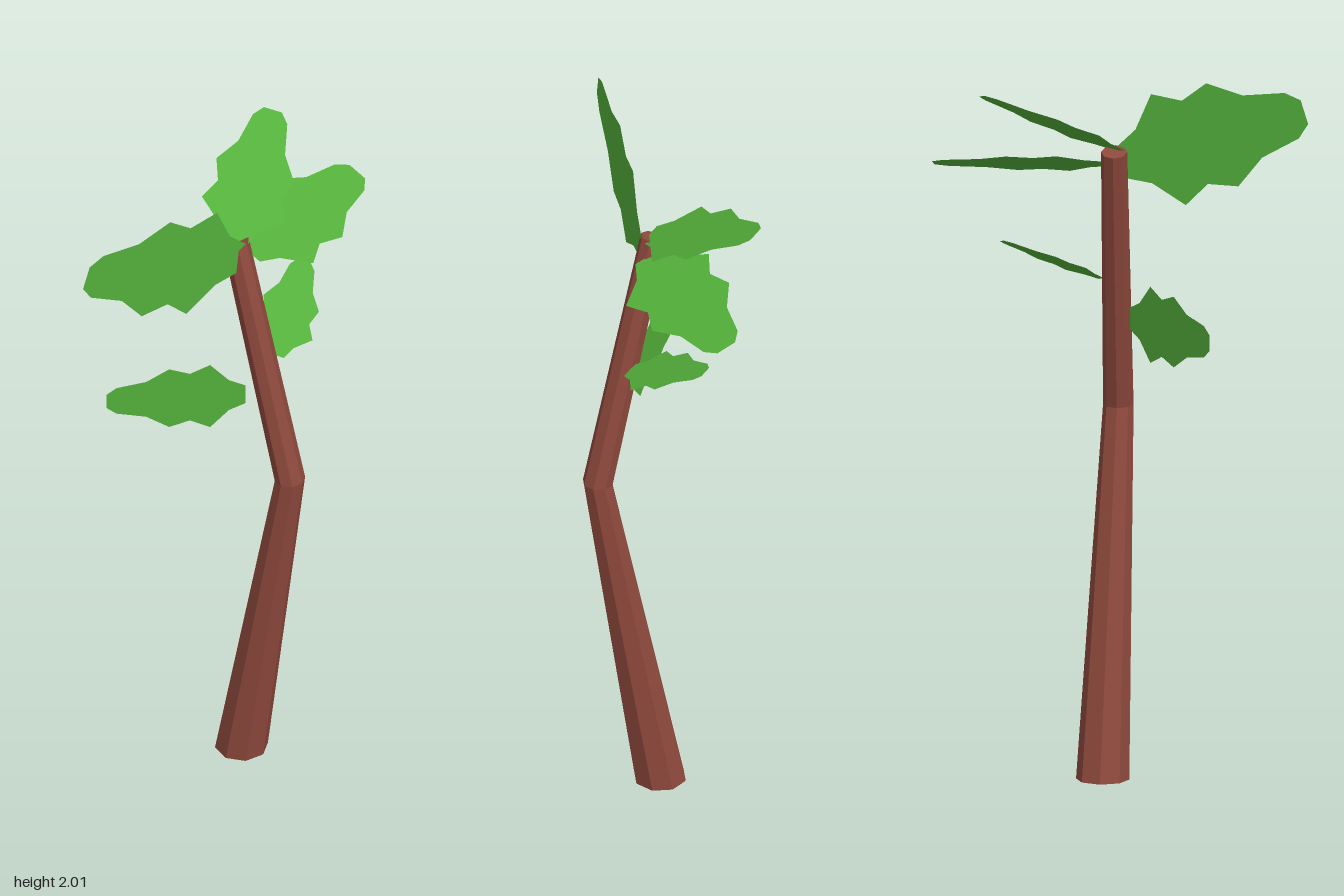
import * as THREE from 'three';

const bark = new THREE.MeshStandardMaterial({ color: 0x8f493d, flatShading: true });
bark.name = 'bark brown';
const green = new THREE.MeshStandardMaterial({ color: 0x54b03b, side: THREE.DoubleSide });
green.name = 'leaf green';

// Bent, tapering eight-sided trunk: two segments through three rings
function makeTrunk() {
  const rings = [
    { c: [0.05, 0, 0], r: 0.075, tilt: 0 },
    { c: [0.026, 1.035, 0.185], r: 0.043, tilt: 0.08 },
    { c: [0.018, 1.797, 0.003], r: 0.037, tilt: 0.3 },
  ];
  const geo = new THREE.CylinderGeometry(1, 1, 2, 8, 2);
  const p = geo.attributes.position;
  for (let i = 0; i < p.count; i++) {
    const { c, r, tilt } = rings[Math.round(p.getY(i)) + 1];
    const z = p.getZ(i) * r;
    p.setXYZ(i, c[0] + p.getX(i) * r, c[1] + z * tilt, c[2] + z);
  }
  geo.computeVertexNormals();
  const mesh = new THREE.Mesh(geo, bark);
  mesh.name = 'trunk';
  return mesh;
}

// Half outline of a leaf of unit length: distance along, half width
const half = [
  [0, 0.08], [0.12, 0.135], [0.255, 0.28], [0.4, 0.21],
  [0.55, 0.26], [0.715, 0.157], [0.93, 0.115], [1, 0.06],
];
const outline = [
  ...half.map(([u, v]) => new THREE.Vector2(u, -v)),
  ...half.slice().reverse().map(([u, v]) => new THREE.Vector2(u, v)),
];
const leafGeometry = new THREE.ShapeGeometry(new THREE.Shape(outline));

// Flat leaf from base to tip, spread along the given width direction
function makeLeaf(name, base, tip, across) {
  const start = new THREE.Vector3(...base);
  const axis = new THREE.Vector3(...tip).sub(start);
  const length = axis.length();
  axis.normalize();
  const normal = axis.clone().cross(new THREE.Vector3(...across)).normalize();
  const width = normal.clone().cross(axis);
  const mesh = new THREE.Mesh(leafGeometry, green);
  mesh.name = name;
  mesh.quaternion.setFromRotationMatrix(new THREE.Matrix4().makeBasis(axis, width, normal));
  mesh.position.copy(start);
  mesh.scale.setScalar(length);
  return mesh;
}

export function createModel() {
  const group = new THREE.Group();
  group.name = 'sapling';
  group.add(
    makeTrunk(),
    makeLeaf('upperRightLeaf', [0, 1.76, 0.035], [-0.53, 1.95, -0.115], [0.31, 0.946, 0.1]),
    makeLeaf('upperLeftLeaf', [0.002, 1.8, 0.007], [0.376, 1.977, -0.128], [0.052, -0.028, 0.106]),
    makeLeaf('frontLeftLeaf', [0.04, 1.755, 0.035], [0.532, 1.743, 0.05], [-0.005, -0.042, 0.11]),
    makeLeaf('lowerLeftLeaf', [0.065, 1.41, 0.106], [0.335, 1.533, 0.01], [0.052, -0.028, 0.106]),
    makeLeaf('lowerRightLeaf', [-0.02, 1.307, 0.065], [-0.275, 1.307, -0.23], [0, 1, 0]),
  );
  return group;
}
